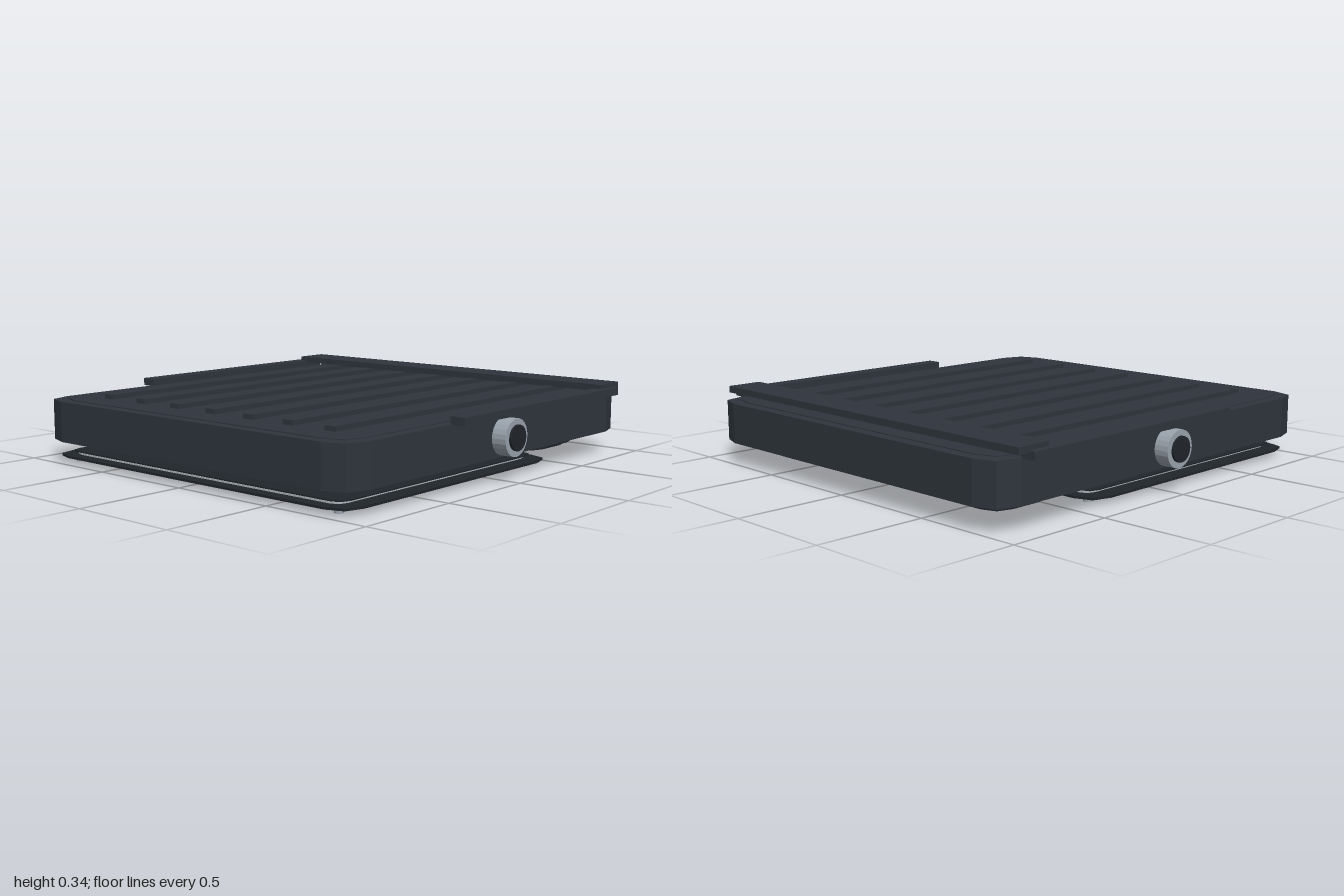
import * as THREE from 'three';

const mat = (color) => new THREE.MeshStandardMaterial({ color, flatShading: true });

// Rectangle with two-step chamfered corners, centred on the origin
function outline(hx, hz, c, Kind = THREE.Shape) {
  const quarter = [[hx, hz - c], [hx - c * 0.23, hz - c * 0.25], [hx - c * 0.95, hz]];
  const pts = [];
  for (const [sx, sz] of [[1, 1], [-1, 1], [-1, -1], [1, -1]]) {
    const corner = quarter.map(([x, z]) => new THREE.Vector2(x * sx, z * sz));
    if (sx * sz < 0) corner.reverse();
    pts.push(...corner);
  }
  return new Kind(pts);
}

export function createModel() {
  const group = new THREE.Group();
  const dark = mat(0x2f353d);
  const black = mat(0x20252b);
  const silver = mat(0x9aa3ad);
  const pale = mat(0xb0b6bc);

  const add = (name, geometry, material, x = 0, y = 0, z = 0) => {
    const mesh = new THREE.Mesh(geometry, material);
    mesh.name = name;
    mesh.position.set(x, y, z);
    group.add(mesh);
    return mesh;
  };
  const box = (name, material, x0, x1, y0, y1, z0, z1) =>
    add(name, new THREE.BoxGeometry(x1 - x0, y1 - y0, z1 - z0), material,
      (x0 + x1) / 2, (y0 + y1) / 2, (z0 + z1) / 2);
  // Flat chamfered plate between heights y0 and y1, with an optional opening
  const plate = (name, material, hx, z0, z1, y0, y1, c, hole) => {
    const shape = outline(hx, (z1 - z0) / 2, c);
    if (hole) shape.holes.push(hole);
    const geometry = new THREE.ExtrudeGeometry(shape, { depth: y1 - y0, bevelEnabled: false });
    geometry.rotateX(-Math.PI / 2);
    return add(name, geometry, material, 0, y0, (z0 + z1) / 2);
  };

  // Main case and its slightly raised top panel
  plate('case', dark, 0.91, -1, 1, 0.1, 0.283, 0.135);
  plate('topPanel', dark, 0.86, -0.95, 0.95, 0.283, 0.287, 0.12);

  // Lengthwise ribs
  for (let i = -3; i <= 3; i++) {
    const x = i * 0.223;
    box('rib', dark, x - 0.027, x + 0.027, 0.283, 0.308, -0.86, 0.82);
  }

  // Rear lip across the ribs
  box('rearLip', dark, -0.94, 0.94, 0.305, 0.335, -0.915, -0.75);

  // Side rails and knobs
  for (const s of [1, -1]) {
    box('sideRail', dark, s * 0.935 - 0.035, s * 0.935 + 0.035, 0.28, 0.315, -0.86, 0.36);
    const ring = add('knobRing', new THREE.CylinderGeometry(0.082, 0.082, 0.075, 24), silver, s * 0.94, 0.19, 0);
    ring.rotation.z = Math.PI / 2;
    const cap = add('knobCap', new THREE.CylinderGeometry(0.056, 0.056, 0.08, 24), black, s * 0.949, 0.19, 0);
    cap.rotation.z = Math.PI / 2;
  }

  // Stacked sheets and frame under the case
  plate('upperSheet', pale, 0.78, -0.35, 0.9, 0.082, 0.086, 0.08);
  plate('innerSheet', pale, 0.77, -0.32, 0.86, 0.072, 0.076, 0.08);
  plate('backingPlate', black, 0.82, -0.38, 0.93, 0.046, 0.052, 0.06);
  plate('basePlate', pale, 0.8, -0.37, 0.92, 0.036, 0.042, 0.05);
  plate('baseFrame', black, 0.88, -0.43, 0.975, 0.024, 0.034, 0.11,
    outline(0.8, 0.645, 0.05, THREE.Path));

  // Feet at the frame corners
  for (const x of [-0.785, 0.785]) for (const z of [-0.355, 0.9]) {
    add('foot', new THREE.CylinderGeometry(0.018, 0.018, 0.012, 16), silver, x, 0.006, z);
  }

  // Rear hatch with a thinner cover
  plate('rearHatch', black, 0.77, -0.85, -0.48, 0.046, 0.053, 0.1);
  plate('rearCover', black, 0.74, -0.83, -0.5, 0.032, 0.042, 0.09);

  return group;
}
